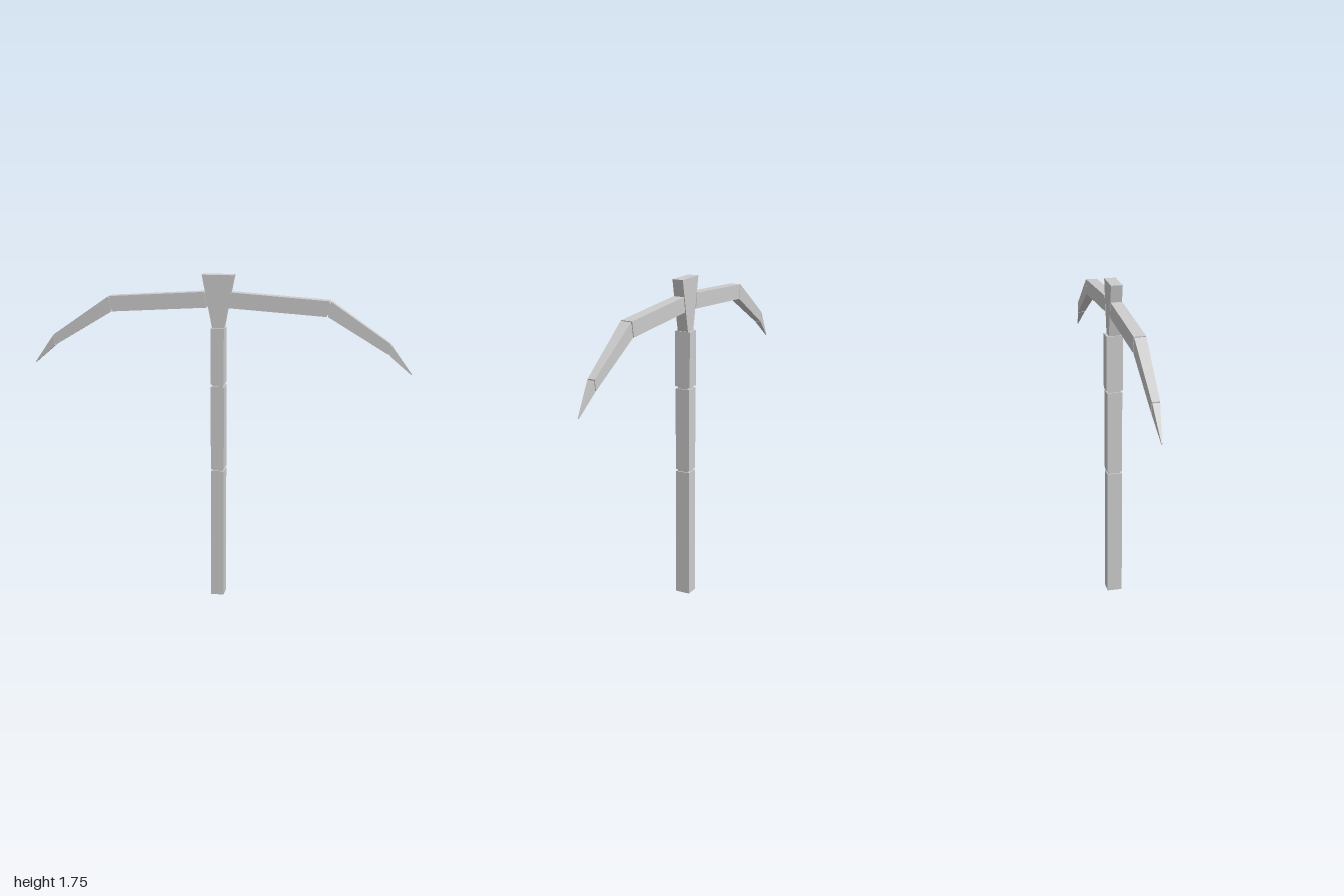
import * as THREE from 'three';

const material = new THREE.MeshStandardMaterial({ color: 0xcccccc, flatShading: true });

function add(parent, name, geometry) {
  const mesh = new THREE.Mesh(geometry, material);
  mesh.name = name;
  parent.add(mesh);
  return mesh;
}

// Box standing between two heights
function post(parent, name, halfX, halfZ, y0, y1) {
  add(parent, name, new THREE.BoxGeometry(halfX * 2, y1 - y0, halfZ * 2)).position.y = (y0 + y1) / 2;
}

// Four-sided bar between two end sections, each [topX, topY, bottomX, bottomY, halfDepth]
function bar(start, end) {
  const corners = ([tx, ty, bx, by, z]) => [[tx, ty, z], [bx, by, z], [bx, by, -z], [tx, ty, -z]];
  const s = corners(start), e = corners(end), points = [];
  const quad = (a, b, c, d) => points.push(...a, ...b, ...c, ...a, ...c, ...d);
  for (let i = 0; i < 4; i++) {
    const j = (i + 1) % 4;
    quad(s[i], s[j], e[j], e[i]);
  }
  quad(e[0], e[1], e[2], e[3]);
  quad(s[3], s[2], s[1], s[0]);
  const geometry = new THREE.BufferGeometry();
  geometry.setAttribute('position', new THREE.Float32BufferAttribute(points, 3));
  geometry.computeVertexNormals();
  return geometry;
}

export function createModel() {
  const model = new THREE.Group();
  model.name = 'pickaxe';

  // Handle: three square sections with narrow necks between them
  post(model, 'lowerHandle', 0.035, 0.04, 0, 0.705);
  post(model, 'lowerNeck', 0.028, 0.031, 0.7, 0.72);
  post(model, 'middleHandle', 0.035, 0.04, 0.716, 1.163);
  post(model, 'upperNeck', 0.028, 0.031, 1.158, 1.18);
  post(model, 'upperHandle', 0.035, 0.044, 1.175, 1.47);

  // Tapered head block
  const wedge = new THREE.Shape([
    new THREE.Vector2(-0.028, 1.465), new THREE.Vector2(0.028, 1.465),
    new THREE.Vector2(0.083, 1.745), new THREE.Vector2(-0.083, 1.745),
  ]);
  const head = add(model, 'headBlock', new THREE.ExtrudeGeometry(wedge, { depth: 0.06, bevelEnabled: false }));
  head.position.z = -0.03;

  // Arms: each bends down in three bars, joined by slightly recessed links
  const parts = [
    ['armRoot', [0.04, 1.652, 0.03, 1.582, 0.025], [0.085, 1.651, 0.075, 1.583, 0.025]],
    ['innerArm', [0.072, 1.657, 0.058, 1.576, 0.03], [0.575, 1.624, 0.56, 1.544, 0.03]],
    ['elbowLink', [0.56, 1.618, 0.55, 1.552, 0.026], [0.592, 1.608, 0.575, 1.555, 0.026]],
    ['outerArm', [0.582, 1.622, 0.567, 1.544, 0.029], [0.886, 1.413, 0.878, 1.357, 0.019]],
    ['tipLink', [0.875, 1.412, 0.87, 1.366, 0.016], [0.898, 1.396, 0.89, 1.357, 0.015]],
    ['tip', [0.891, 1.409, 0.883, 1.353, 0.018], [1, 1.258, 0.997, 1.254, 0.002]],
  ];
  for (const side of ['left', 'right']) {
    const arm = new THREE.Group();
    arm.name = side + 'Arm';
    if (side === 'right') arm.rotation.y = Math.PI;
    for (const [name, start, end] of parts) add(arm, name, bar(start, end));
    model.add(arm);
  }
  return model;
}
